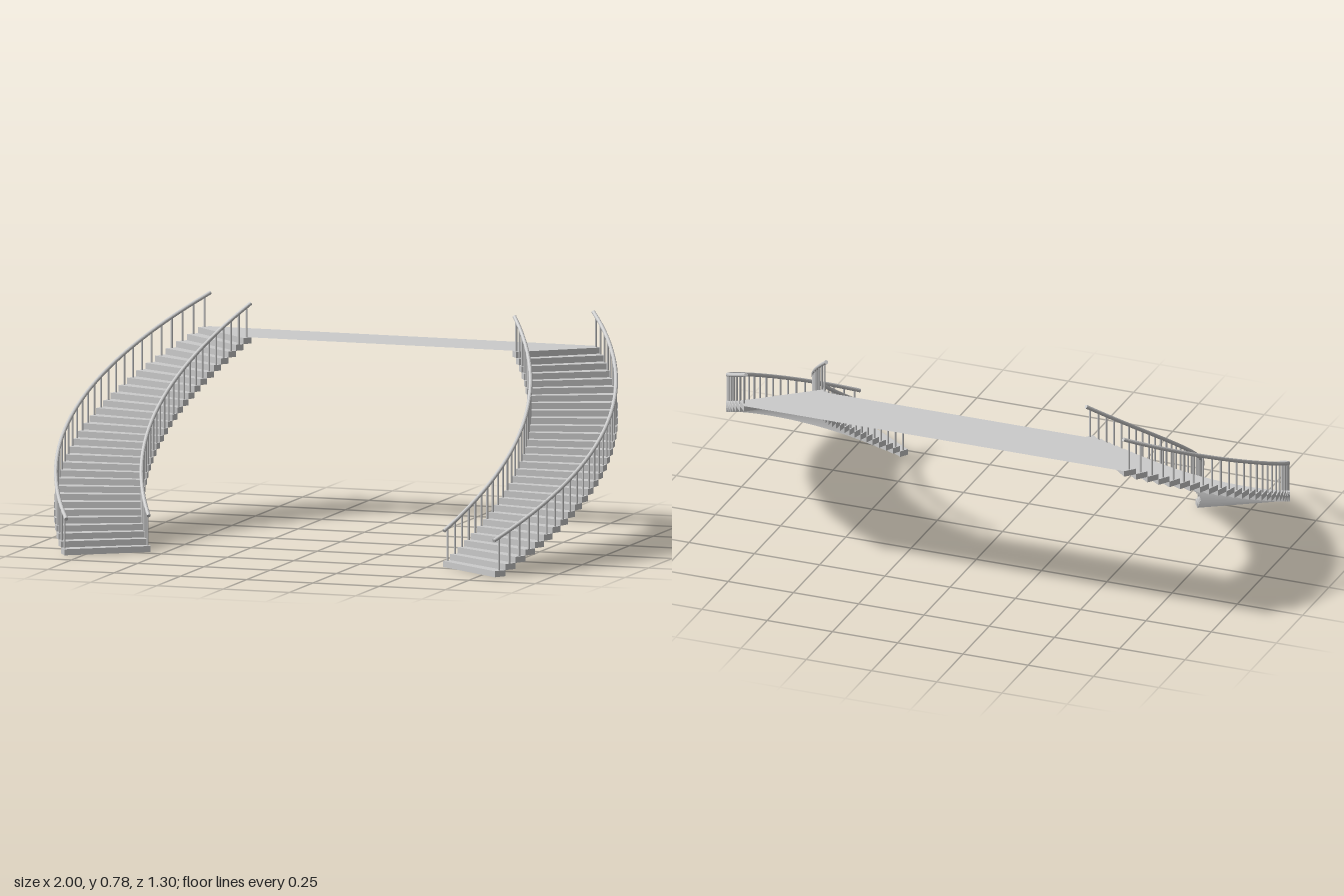
import * as THREE from 'three';

const STEPS = 30, TOP = 0.65, RISE = TOP / STEPS;
const CX = -0.046, CZ = 0.052;             // centre of the +x flight's arc
const R_IN = 0.728, R_OUT = 1.046;
const A0 = THREE.MathUtils.degToRad(34.9), A1 = THREE.MathUtils.degToRad(-42.3);
const RAIL_R = 0.007, RAIL_Y0 = 0.13, RAIL_Y1 = 0.772;

const grey = new THREE.MeshStandardMaterial({ color: 0xcccccc });
const greyThin = new THREE.MeshStandardMaterial({ color: 0xcccccc, side: THREE.DoubleSide });

// point on the flight: t runs 0 (foot) to 1 (landing), s = +1 / -1 picks the side
function onArc(s, r, t, y) {
  const a = A0 + (A1 - A0) * t;
  return new THREE.Vector3(s * (CX + r * Math.cos(a)), y, CZ + r * Math.sin(a));
}

function add(group, name, geometry, material = grey) {
  const mesh = new THREE.Mesh(geometry, material);
  mesh.name = name;
  group.add(mesh);
  return mesh;
}

// wedge-shaped solid tread
function treadGeometry(s, i) {
  const t0 = i / STEPS, t1 = (i + 1) / STEPS;
  const corners = [[R_IN, t0], [R_OUT, t0], [R_OUT, t1], [R_IN, t1]].map(([r, t]) => {
    const p = onArc(s, r, t, 0);
    return new THREE.Vector2(p.x, -p.z);
  });
  const g = new THREE.ExtrudeGeometry(new THREE.Shape(corners), { depth: RISE, bevelEnabled: false });
  return g.rotateX(-Math.PI / 2).translate(0, i * RISE, 0);
}

// handrail with one baluster per tread
function buildRailing(s, r, name) {
  const railing = new THREE.Group();
  railing.name = name;
  const railY = t => THREE.MathUtils.lerp(RAIL_Y0, RAIL_Y1, t);
  const points = [];
  for (let i = 0; i <= 20; i++) points.push(onArc(s, r, i / 20, railY(i / 20)));
  const section = new THREE.Shape().absarc(0, 0, RAIL_R, 0, Math.PI * 2);
  add(railing, 'handrail', new THREE.ExtrudeGeometry(section, {
    steps: 60, curveSegments: 10, bevelEnabled: false,
    extrudePath: new THREE.CatmullRomCurve3(points),
  }));
  for (let i = 0; i < STEPS; i++) {
    const t = (i + 0.5) / STEPS, base = (i + 1) * RISE, height = railY(t) - base;
    const post = add(railing, 'baluster', new THREE.CylinderGeometry(0.004, 0.004, height, 8));
    post.position.copy(onArc(s, r, t, base + height / 2));
  }
  return railing;
}

function buildFlight(s, name) {
  const flight = new THREE.Group();
  flight.name = name;
  for (let i = 0; i < STEPS; i++) add(flight, 'tread', treadGeometry(s, i));
  flight.add(buildRailing(s, R_OUT - RAIL_R, 'outerRailing'));
  flight.add(buildRailing(s, R_IN + RAIL_R, 'innerRailing'));
  return flight;
}

export function createModel() {
  const model = new THREE.Group();
  model.name = 'doubleCurvedStaircase';
  model.add(buildFlight(1, 'leftFlight'), buildFlight(-1, 'rightFlight'));

  // thin landing joining the heads of both flights
  const outline = [[1, R_IN], [1, R_OUT], [-1, R_OUT], [-1, R_IN]].map(([s, r]) => {
    const p = onArc(s, r, 1, 0);
    return new THREE.Vector2(p.x, -p.z);
  });
  const landing = new THREE.ShapeGeometry(new THREE.Shape(outline));
  add(model, 'landing', landing.rotateX(-Math.PI / 2).translate(0, TOP, 0), greyThin);
  return model;
}
